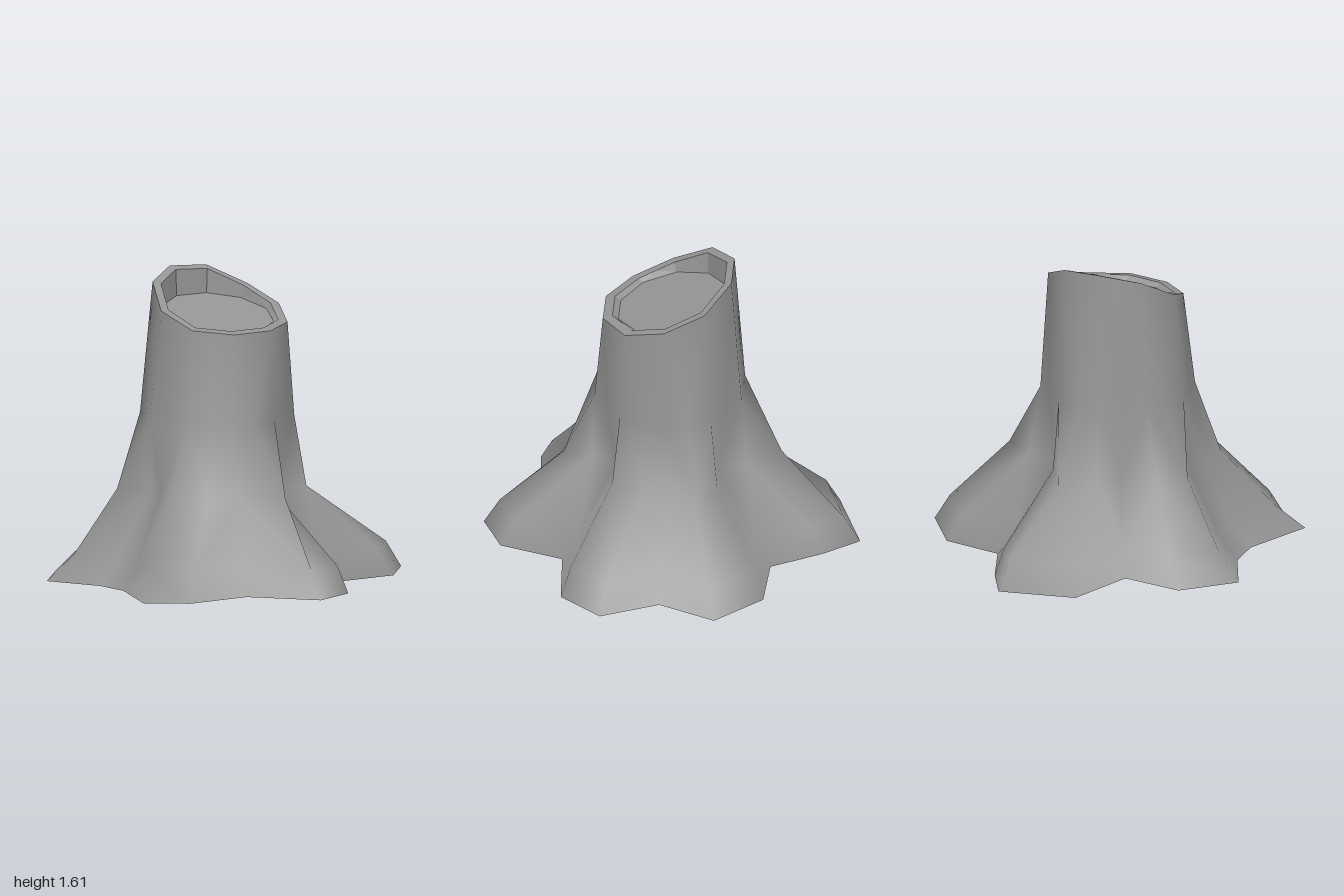
import * as THREE from 'three';

const N = 20; // columns around the trunk, starting at the back

// Outline of the roots on the ground, as x, z pairs
const base = [
  [0.09, -1.0], [0.23, -0.81], [0.375, -0.545], [0.70, -0.53], [0.925, -0.285],
  [0.79, 0.015], [0.925, 0.32], [0.75, 0.54], [0.38, 0.56], [0.27, 0.895],
  [0.04, 1.0], [-0.25, 0.72], [-0.61, 0.745], [-0.82, 0.62], [-0.72, 0.23],
  [-0.755, 0.04], [-0.925, -0.225], [-0.715, -0.49], [-0.385, -0.49], [-0.305, -0.865],
];
// Outline where the roots leave the trunk
const flare = [
  [-0.02, -0.575], [0.12, -0.40], [0.19, -0.26], [0.355, -0.26], [0.535, -0.165],
  [0.345, 0.0], [0.40, 0.12], [0.36, 0.295], [0.16, 0.285], [0.10, 0.42],
  [0.07, 0.575], [-0.14, 0.455], [-0.33, 0.46], [-0.485, 0.31], [-0.455, 0.16],
  [-0.44, 0.04], [-0.55, -0.13], [-0.42, -0.22], [-0.245, -0.31], [-0.16, -0.40],
];
const valleys = [2, 5, 8, 11, 18]; // columns between two roots
// Height of the slanted cut at its ten corners
const cutY = [1.597, 1.50, 1.42, 1.357, 1.345, 1.342, 1.36, 1.44, 1.56, 1.61];

// Ring of ten corners, with a point in the middle of each side
function decagon(r, cx, cz, height) {
  const corner = (k) => {
    const j = (k + 10) % 10, a = ((j * 36 - 72) * Math.PI) / 180;
    const x = cx + r * Math.cos(a), z = cz + r * Math.sin(a);
    return new THREE.Vector3(x, height(j, z), z);
  };
  return Array.from({ length: N }, (_, i) =>
    i % 2 ? corner((i - 1) / 2) : corner(i / 2 - 1).lerp(corner(i / 2), 0.5));
}

// Surface through closed rings, listed from the outside bottom upwards and inwards
function loft(rings) {
  const index = [];
  for (let r = 0; r < rings.length - 1; r++) {
    for (let i = 0; i < N; i++) {
      const j = (i + 1) % N;
      const a = r * N + i, b = r * N + j, c = b + N, d = a + N;
      // Diagonals alternate, so they meet at the trunk's ten corners
      if (i % 2) index.push(b, a, d, b, d, c);
      else index.push(b, a, c, a, d, c);
    }
  }
  const g = new THREE.BufferGeometry().setFromPoints(rings.flat());
  g.setIndex(index);
  g.computeVertexNormals();
  return g;
}

export function createModel() {
  const group = new THREE.Group();
  group.name = 'treeStump';
  const smooth = new THREE.MeshStandardMaterial({ color: 0x959595, side: THREE.DoubleSide });
  const flat = new THREE.MeshStandardMaterial({ color: 0x959595, side: THREE.DoubleSide, flatShading: true });
  const add = (name, geometry, material) => {
    const mesh = new THREE.Mesh(geometry, material);
    mesh.name = name;
    group.add(mesh);
  };

  const ground = base.map(([x, z]) => new THREE.Vector3(x, 0, z));
  const ankle = base.map(([x, z], i) => {
    const s = valleys.includes(i) || (i >= 13 && i <= 17) ? 0.84 : 0.915;
    return new THREE.Vector3(x * s, 0.14, z * s);
  });
  const knee = flare.map(([x, z]) => new THREE.Vector3(x, 0.48, z));
  const waist = decagon(0.41, -0.025, 0.018, () => 0.86);
  const cut = decagon(0.359, -0.01, 0.023, (k) => cutY[k]);
  const lip = decagon(0.312, -0.01, 0.018, (k) => cutY[k] + (1.45 - cutY[k]) * 0.1);
  const floorY = (k, z) => 1.393 - 0.215 * z;
  const floor = decagon(0.295, -0.01, 0.003, floorY);
  const middle = floor.map(() => new THREE.Vector3(-0.01, floorY(0, 0.003), 0.003));

  // Bark: roots and trunk, open underneath
  add('trunkAndRoots', loft([ground, ankle, knee, waist, cut]), smooth);
  // Bark rim, inner wall of the hollow and the sunken cut wood
  add('barkRim', loft([cut, lip]), flat);
  add('hollowWall', loft([lip, floor]), flat);
  add('cutWood', loft([floor, middle]), flat);
  return group;
}
